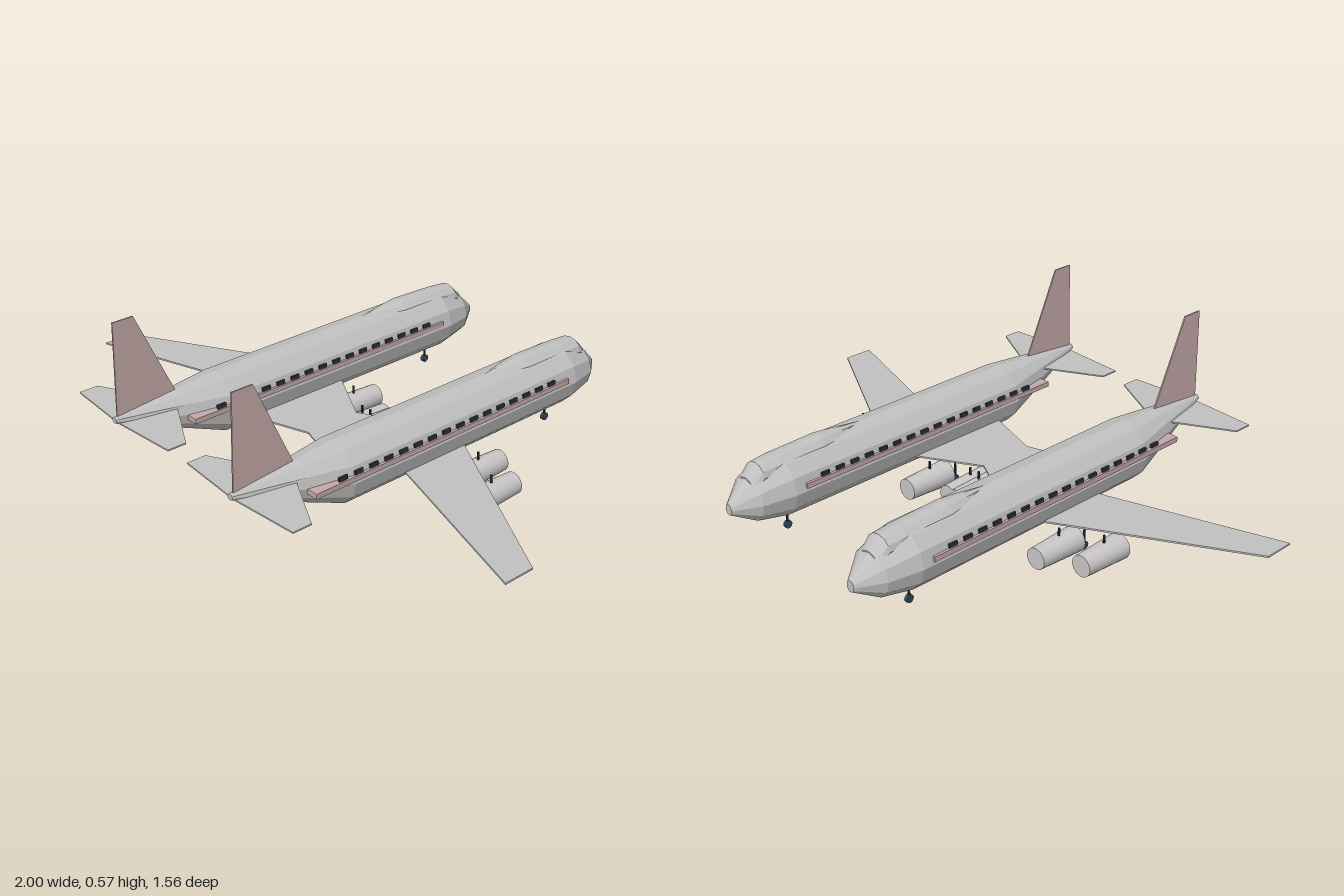
import * as THREE from 'three';

const paint = (name, color) => {
  const m = new THREE.MeshStandardMaterial({ color });
  m.name = name;
  return m;
};

// Faceted body through elliptical rings [z, bottom, top, halfWidth], listed nose to tail
function loft(rings, sides = 12) {
  const pos = [];
  const pt = ([z, lo, hi, w], j) => {
    const a = (j / sides) * Math.PI * 2;
    return [Math.sin(a) * w, (lo + hi) / 2 + (Math.cos(a) * (hi - lo)) / 2, z];
  };
  const mid = ([z, lo, hi]) => [0, (lo + hi) / 2, z];
  const last = rings[rings.length - 1];
  for (let j = 0; j < sides; j++) {
    for (let i = 0; i < rings.length - 1; i++) {
      const a = pt(rings[i], j), b = pt(rings[i], j + 1);
      const c = pt(rings[i + 1], j), d = pt(rings[i + 1], j + 1);
      pos.push(...a, ...c, ...b, ...b, ...c, ...d);
    }
    pos.push(...mid(rings[0]), ...pt(rings[0], j), ...pt(rings[0], j + 1));
    pos.push(...mid(last), ...pt(last, j + 1), ...pt(last, j));
  }
  const g = new THREE.BufferGeometry();
  g.setAttribute('position', new THREE.Float32BufferAttribute(pos, 3));
  g.computeVertexNormals();
  return g;
}

const slab = (points, depth) => new THREE.ExtrudeGeometry(
  new THREE.Shape(points.map(([u, v]) => new THREE.Vector2(u, v))),
  { depth, bevelEnabled: false }).translate(0, 0, -depth / 2);

// Horizontal panel from an x,z outline; vertical panel from a z,y outline
const flatPanel = (points, depth) => slab(points, depth).rotateX(Math.PI / 2);
const uprightPanel = (points, depth) => slab(points, depth).rotateY(-Math.PI / 2);

export function createModel() {
  const model = new THREE.Group();
  model.name = 'twinFuselageAircraft';
  const grey = paint('bodyGrey', 0xc0c0c0);
  const engineGrey = paint('engineGrey', 0xc9c6c7);
  const rose = paint('dustyRose', 0xc4a8a8);
  const black = paint('strutBlack', 0x222222);
  const glass = paint('windowDark', 0x2c3136);
  const tyre = paint('wheelBlue', 0x34495e);

  const add = (parent, name, geometry, material, x = 0, y = 0, z = 0) => {
    const m = new THREE.Mesh(geometry, material);
    m.name = name;
    m.position.set(x, y, z);
    parent.add(m);
    return m;
  };

  // Shared shapes
  const fuselage = loft([
    [-0.78, 0.137, 0.175, 0.016], [-0.70, 0.09, 0.25, 0.078], [-0.59, 0.07, 0.283, 0.106],
    [0.395, 0.07, 0.283, 0.106], [0.55, 0.134, 0.272, 0.068], [0.78, 0.23, 0.25, 0.012],
  ]);
  const cockpit = loft([
    [-0.71, 0.16, 0.245, 0.045], [-0.67, 0.205, 0.285, 0.05], [-0.60, 0.205, 0.291, 0.053],
    [-0.42, 0.205, 0.297, 0.053], [-0.34, 0.21, 0.291, 0.038], [-0.25, 0.22, 0.283, 0.012],
  ]);
  const fin = uprightPanel([[0.55, 0.27], [0.77, 0.245], [0.76, 0.57], [0.685, 0.57]], 0.005);
  const tailplane = flatPanel([
    [0, 0.55], [0.25, 0.685], [0.25, 0.752], [0, 0.77], [-0.25, 0.752], [-0.25, 0.685],
  ], 0.005);
  const stripe = new THREE.BoxGeometry(0.216, 0.018, 1.1);
  const pane = new THREE.BoxGeometry(0.008, 0.013, 0.033);
  const wheel = new THREE.CylinderGeometry(0.014, 0.014, 0.012, 16).rotateZ(Math.PI / 2);

  const landingGear = (name, x, z, top) => {
    const gear = new THREE.Group();
    gear.name = name;
    gear.position.set(x, 0, z);
    add(gear, 'strut', new THREE.CylinderGeometry(0.004, 0.004, top - 0.015, 8), black, 0, (top + 0.015) / 2);
    add(gear, 'wheel', wheel, tyre, 0, 0.015);
    model.add(gear);
  };

  // Engine tapering toward its intake, hung from the wing on a thin strut
  const nacelle = new THREE.CylinderGeometry(0.037, 0.045, 0.177, 20).rotateX(-Math.PI / 2);
  const engine = (name, x, z) => {
    add(model, name, nacelle, engineGrey, x, 0.058, z);
    add(model, name + 'Pylon', new THREE.CylinderGeometry(0.004, 0.004, 0.04, 8), black, x, 0.106, z + 0.014);
  };

  for (const s of [1, -1]) {
    const side = s > 0 ? 'left' : 'right';

    // One complete body with its tail
    const body = new THREE.Group();
    body.name = side + 'Body';
    body.position.x = 0.3 * s;
    model.add(body);
    add(body, 'fuselage', fuselage, grey);
    add(body, 'cockpitHump', cockpit, grey);
    add(body, 'fin', fin, rose);
    add(body, 'tailplane', tailplane, grey, 0, 0.229);
    add(body, 'stripe', stripe, rose, 0, 0.195);
    for (let i = 0; i < 16; i++) {
      for (const e of [1, -1]) add(body, 'window', pane, glass, 0.0985 * e, 0.2105, 0.44 - i * 0.0607);
    }

    // Outer wing
    const outline = [[0.3, -0.127], [1, 0.265], [1, 0.375], [0.3, 0.15]];
    add(model, side + 'Wing', flatPanel(outline.map(([x, z]) => [x * s, z]), 0.006), grey, 0, 0.121);

    // Engines and wheels
    engine(side + 'OuterEngine', 0.58 * s, -0.018);
    engine(side + 'MiddleEngine', 0.455 * s, -0.088);
    engine(side + 'InnerEngine', 0.145 * s, -0.088);
    engine(side + 'CentreEngine', 0.02 * s, -0.018);
    landingGear(side + 'NoseGear', 0.3 * s, -0.56, 0.08);
    landingGear(side + 'OuterMainGear', 0.455 * s, 0.045, 0.12);
    landingGear(side + 'InnerMainGear', 0.148 * s, 0.045, 0.12);
  }

  // Centre wing joining both bodies
  add(model, 'centreWing', flatPanel([
    [0, 0.04], [0.3, -0.127], [0.3, 0.345], [0, 0.245], [-0.3, 0.345], [-0.3, -0.127],
  ], 0.006), grey, 0, 0.121);

  return model;
}
